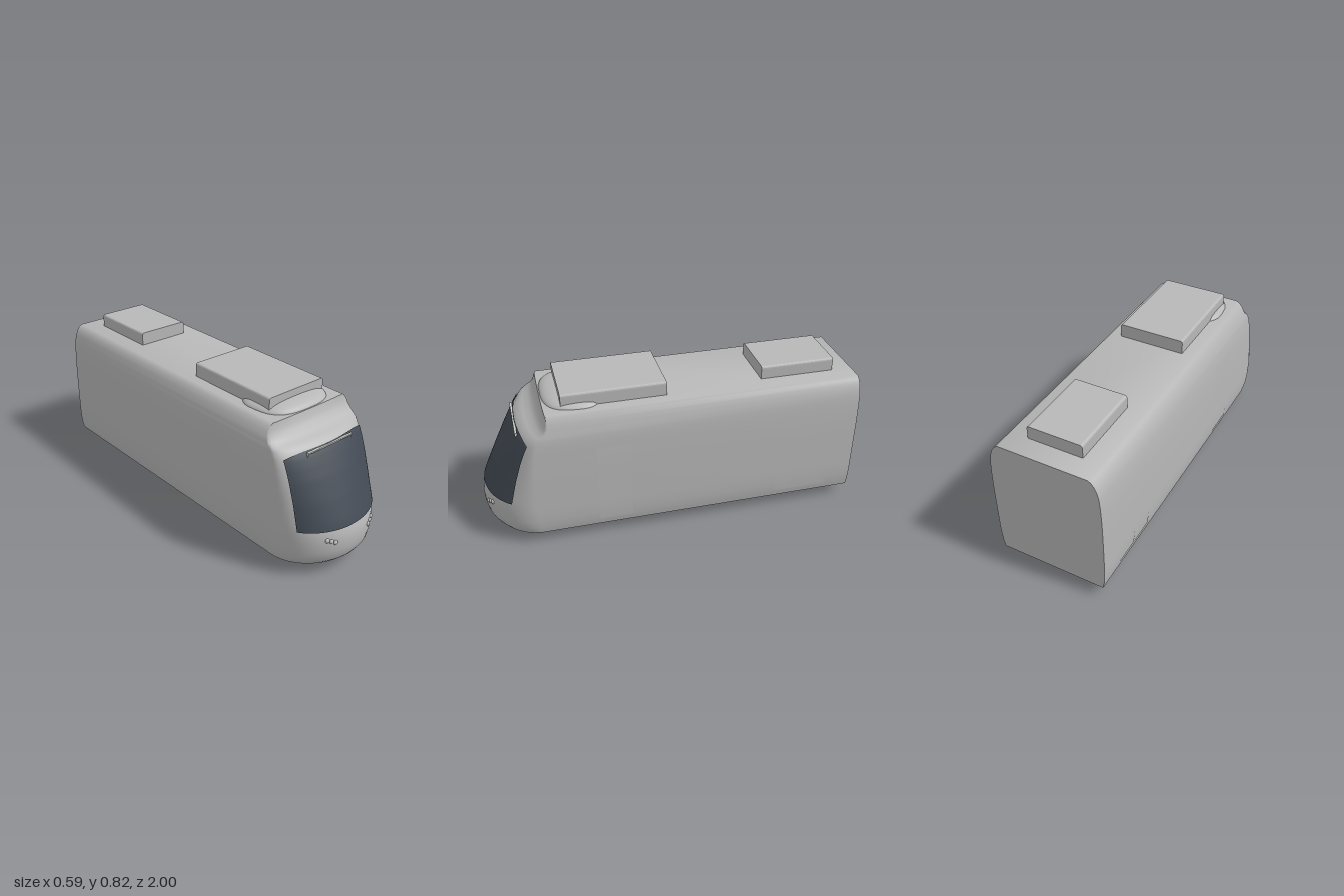
import * as THREE from 'three';
import { mergeGeometries, toCreasedNormals } from 'three/addons/utils/BufferGeometryUtils.js';

// Body levels: height, half width, nose tip z, depth of the nose curve
const LEVELS = [
  [0.065, 0.281, 0.955, 0.24], [0.085, 0.285, 0.975, 0.25], [0.105, 0.289, 0.988, 0.255],
  [0.15, 0.293, 0.998, 0.26], [0.2, 0.295, 1.0, 0.26], [0.235, 0.295, 0.995, 0.25],
  [0.27, 0.295, 0.983, 0.235], [0.3, 0.295, 0.97, 0.225], [0.4, 0.295, 0.921, 0.18],
  [0.5, 0.294, 0.868, 0.137], [0.56, 0.292, 0.833, 0.112], [0.6, 0.29, 0.808, 0.097],
  [0.635, 0.287, 0.782, 0.085], [0.65, 0.285, 0.748, 0.065], [0.665, 0.283, 0.712, 0.045],
  [0.69, 0.276, 0.685, 0.03], [0.715, 0.266, 0.672, 0.02], [0.735, 0.251, 0.664, 0.012],
  [0.746, 0.235, 0.66, 0.006],
];
const lerp = THREE.MathUtils.lerp;
const ARC = 40;
const LAST = ARC + 2;

function level(y) {
  let i = 1;
  while (i < LEVELS.length - 1 && LEVELS[i][0] < y) i++;
  const a = LEVELS[i - 1], b = LEVELS[i];
  const t = (y - a[0]) / (b[0] - a[0]);
  return a.map((v, k) => lerp(v, b[k], t));
}

// Nose surface z at a given x and y
function noseZ(x, y, grow = 0) {
  const [, w, z, d] = level(y);
  return z + grow - d * (1 - Math.sqrt(Math.max(0, 1 - (x / (w + grow)) ** 2)));
}

// Grid surface from a point rule
function grid(nu, nv, rule) {
  const pos = [], index = [];
  for (let j = 0; j <= nv; j++) for (let i = 0; i <= nu; i++) pos.push(...rule(i, j));
  for (let j = 0; j < nv; j++) for (let i = 0; i < nu; i++) {
    const a = j * (nu + 1) + i, d = a + nu + 1;
    index.push(a, a + 1, d + 1, a, d + 1, d);
  }
  const g = new THREE.BufferGeometry();
  g.setAttribute('position', new THREE.Float32BufferAttribute(pos, 3));
  g.setIndex(index);
  g.computeVertexNormals();
  return g;
}

// Point i of the outline at level j, from back right around the nose to back left
function ring(i, j) {
  const [y, w, z, d] = LEVELS[j];
  if (i === 0) return [-w, y, -1];
  if (i === LAST) return [w, y, -1];
  const t = ((i - 1) / ARC - 0.5) * Math.PI;
  return [w * Math.sin(t), y, z - d + d * Math.cos(t)];
}

function bodyGeometry() {
  const top = LEVELS.length - 1, half = LAST / 2;
  return toCreasedNormals(mergeGeometries([
    grid(LAST, top, ring),
    grid(1, half, (i, j) => ring(i ? j : LAST - j, top)),
    grid(1, half, (i, j) => ring(i ? LAST - j : j, 0)),
    grid(1, top, (i, j) => ring(i ? 0 : LAST, j)),
  ]), 0.7);
}

// Box-like roof unit with softened long top edges
function roofUnit(w, y0, y1, z0, z1) {
  const c = 0.014;
  const s = new THREE.Shape();
  s.moveTo(-w, y0);
  s.lineTo(w, y0);
  s.lineTo(w, y1 - c);
  s.quadraticCurveTo(w, y1, w - c, y1);
  s.lineTo(-w + c, y1);
  s.quadraticCurveTo(-w, y1, -w, y1 - c);
  return new THREE.ExtrudeGeometry(s, { depth: z1 - z0, bevelEnabled: false, curveSegments: 4 }).translate(0, 0, z0);
}

export function createModel() {
  const model = new THREE.Group();
  const mat = (name, color, side = THREE.FrontSide) => {
    const m = new THREE.MeshStandardMaterial({ color, side });
    m.name = name;
    return m;
  };
  const grey = mat('body grey', 0xb8b8b8);
  const glass = mat('dark glass', 0x434a54, THREE.DoubleSide);
  const pale = mat('pale trim', 0xc8ccc6);
  const add = (name, geometry, material, x = 0, y = 0, z = 0) => {
    const m = new THREE.Mesh(geometry, material);
    m.name = name;
    m.position.set(x, y, z);
    model.add(m);
    return m;
  };

  add('body', bodyGeometry(), grey);

  // Windscreen wrapped over the nose, with a gently arched top edge
  add('windscreen', grid(40, 32, (i, j) => {
    const x = lerp(-0.264, 0.264, i / 40);
    const y = lerp(0.267, 0.625 - 0.02 * Math.abs(x / 0.264) ** 5, j / 32);
    return [x, y, noseZ(x, y, 0.005)];
  }), glass);

  // Trim bar at the top of the windscreen
  add('trimBar', new THREE.BoxGeometry(0.304, 0.007, 0.012), pale, 0, 0.617, 0.8);
  for (const s of [-1, 1]) {
    add('trimBarEnd', new THREE.BoxGeometry(0.004, 0.022, 0.012), pale, s * 0.15, 0.609, 0.799);
  }

  // Roof equipment and the fairing beneath the front unit
  add('frontRoofUnit', roofUnit(0.18, 0.74, 0.82, 0.03, 0.57), grey);
  add('rearRoofUnit', roofUnit(0.145, 0.74, 0.816, -0.89, -0.49), grey);
  const fairing = new THREE.SphereGeometry(1, 40, 14, 0, Math.PI * 2, 0, Math.PI / 2);
  const p = fairing.attributes.position;
  const soft = (v) => Math.sign(v) * Math.abs(v) ** 0.7;
  for (let i = 0; i < p.count; i++) {
    const z = soft(p.getZ(i));
    p.setXYZ(i, soft(p.getX(i)) * (0.208 - 0.015 * z), p.getY(i) * 0.042, z * 0.155);
  }
  fairing.computeVertexNormals();
  add('roofFairing', fairing, grey, 0, 0.742, 0.5);

  // Door leaves standing just proud of both sides
  for (const s of [-1, 1]) {
    for (const [z0, z1] of [[-0.855, -0.712], [-0.708, -0.565], [0.24, 0.42]]) {
      add('doorLeaf', grid(1, 12, (i, j) => {
        const y = lerp(0.105, 0.56, j / 12);
        return [s * (level(y)[1] + 0.002), y, (i === 1) === (s > 0) ? z0 : z1];
      }), grey);
    }
    // Headlights, three in a slanting row
    for (const [x, y] of [[0.155, 0.22], [0.136, 0.212], [0.117, 0.203]]) {
      const lamp = add('headlight', new THREE.SphereGeometry(0.0125, 16, 10), grey, s * x, y, noseZ(x, y));
      lamp.scale.z = 0.7;
    }
  }

  // Running gear: flanged wheels on axles under a thin frame
  add('underframe', new THREE.BoxGeometry(0.31, 0.01, 0.4), grey, 0, 0.063, -0.19);
  for (const z of [0.01, -0.39]) {
    add('axle', new THREE.CylinderGeometry(0.01, 0.01, 0.34, 12).rotateZ(Math.PI / 2), grey, 0, 0.066, z);
    for (const s of [-1, 1]) {
      add('wheel', new THREE.CylinderGeometry(0.058, 0.058, 0.026, 32).rotateZ(Math.PI / 2), grey, s * 0.17, 0.068, z);
      add('wheelFlange', new THREE.CylinderGeometry(0.066, 0.066, 0.012, 32).rotateZ(Math.PI / 2), grey, s * 0.163, 0.068, z);
    }
  }
  return model;
}
